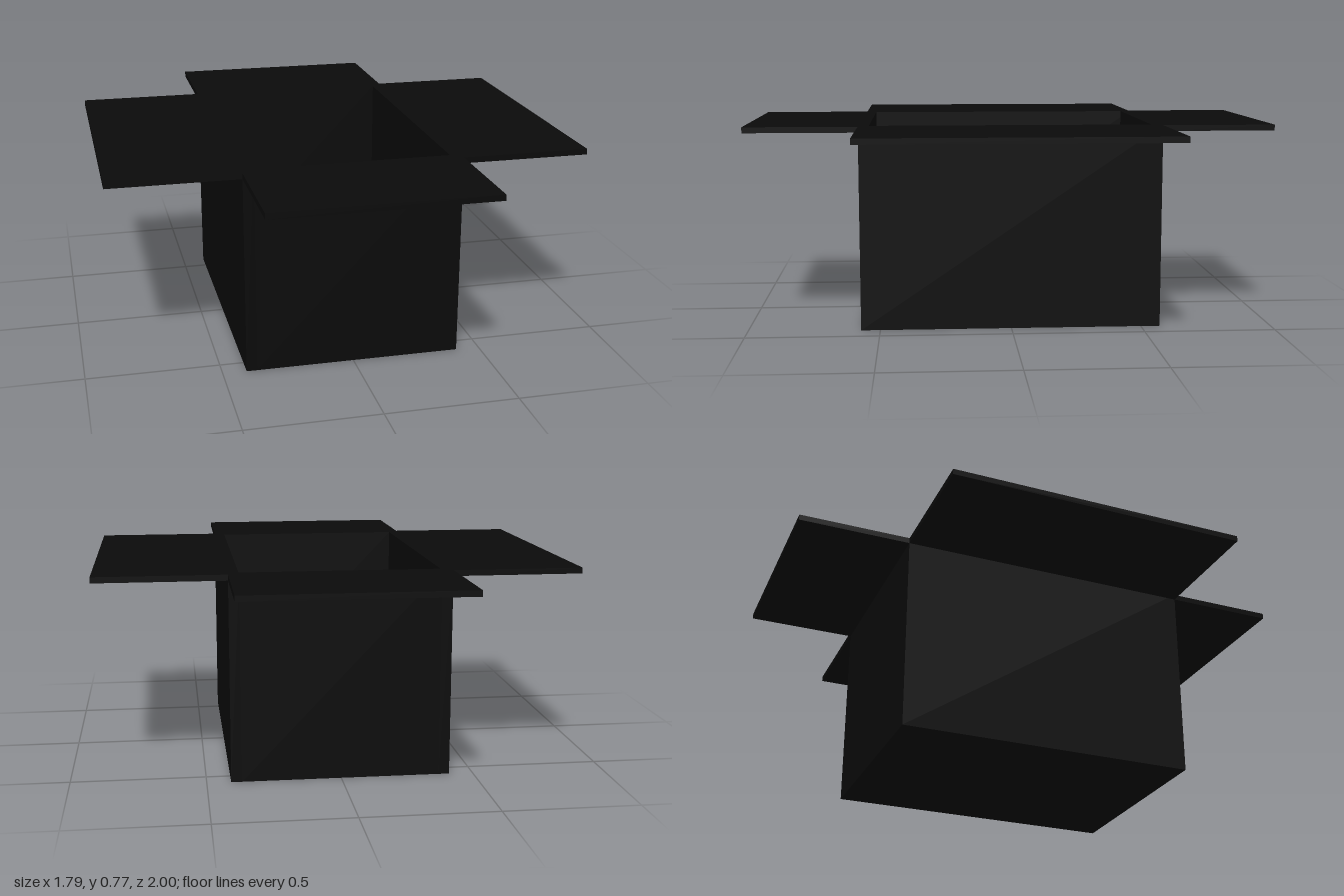
import * as THREE from 'three';

export function createModel() {
  const group = new THREE.Group();
  const black = new THREE.MeshStandardMaterial({ color: 0x0a0a0a });
  black.name = 'black card';

  // Outer half sizes, height, wall and flap thickness
  const hx = 0.41, hz = 0.573, height = 0.775, wall = 0.04, flap = 0.022;

  const addBox = (name, w, h, d, x, y, z) => {
    const mesh = new THREE.Mesh(new THREE.BoxGeometry(w, h, d), black);
    mesh.name = name;
    mesh.position.set(x, y, z);
    group.add(mesh);
  };

  // Floor fits between the walls
  addBox('floor', 2 * (hx - wall), wall, 2 * (hz - wall), 0, wall / 2, 0);

  // Walls and the open flaps level with the rim, mirrored on both axes
  const flapY = height - flap / 2;
  const sideLength = 0.895 - hx, endLength = 1 - hz;
  for (const s of [1, -1]) {
    const side = s > 0 ? 'left' : 'right';
    const end = s > 0 ? 'front' : 'back';
    addBox(side + 'Wall', wall, height, 2 * hz, s * (hx - wall / 2), height / 2, 0);
    addBox(end + 'Wall', 2 * (hx - wall), height, wall, 0, height / 2, s * (hz - wall / 2));
    addBox(side + 'Flap', sideLength, flap, 2 * hz, s * (hx + sideLength / 2), flapY, 0);
    addBox(end + 'Flap', 2 * hx, flap, endLength, 0, flapY, s * (hz + endLength / 2));
  }
  return group;
}
